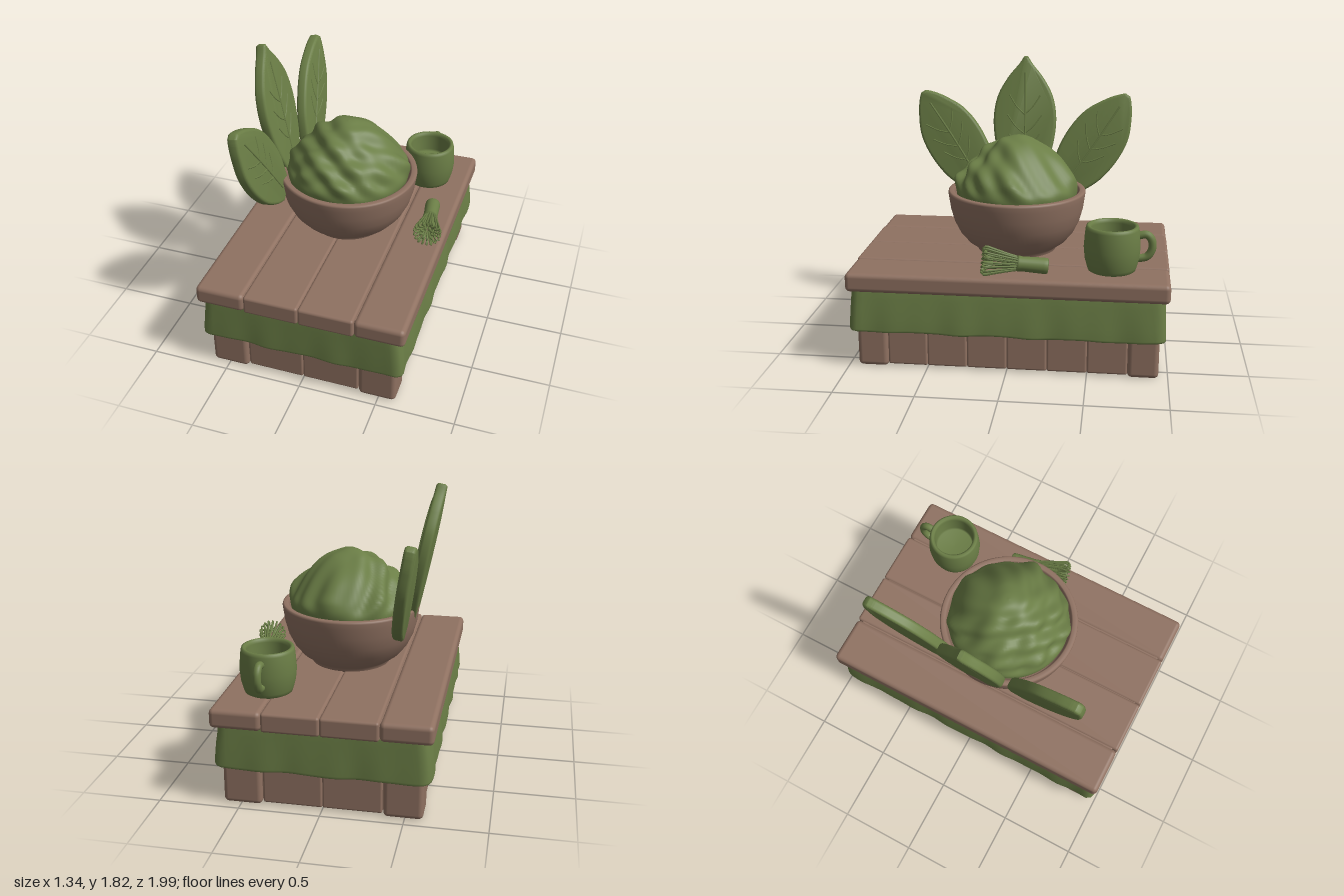
import * as THREE from 'three';
import { mergeVertices, toCreasedNormals } from 'three/addons/utils/BufferGeometryUtils.js';
import { RoundedBoxGeometry } from 'three/addons/geometries/RoundedBoxGeometry.js';

const wood = new THREE.MeshStandardMaterial({ color: 0x8f7161 });
wood.name = 'brown wood';
const green = new THREE.MeshStandardMaterial({ color: 0x6b7e46 });
green.name = 'leaf green';

const V2 = (x, y) => new THREE.Vector2(x, y);
const V3 = (x, y, z) => new THREE.Vector3(x, y, z);

function add(parent, name, geometry, material) {
  const mesh = new THREE.Mesh(geometry, material);
  mesh.name = name;
  parent.add(mesh);
  return mesh;
}

// Rounded block given by its limits on each axis
function block(parent, name, [x0, x1], [y0, y1], [z0, z1], r) {
  const geo = new RoundedBoxGeometry(x1 - x0, y1 - y0, z1 - z0, 3, r);
  const mesh = add(parent, name, geo, wood);
  mesh.position.set((x0 + x1) / 2, (y0 + y1) / 2, (z0 + z1) / 2);
}

function lathe(pairs, segments = 64) {
  return new THREE.LatheGeometry(pairs.map(([r, y]) => V2(r, y)), segments);
}

// Table: grid of blocks, corner posts and four top planks
function buildTable() {
  const g = new THREE.Group();
  g.name = 'table';
  const xs = [-0.595, -0.365, 0, 0.365, 0.595];
  const zs = [-0.925, -0.75, -0.5, -0.25, 0, 0.25, 0.5, 0.75, 0.925];
  for (let i = 0; i < 4; i++) {
    for (let j = 0; j < 8; j++) {
      const corner = (i === 0 || i === 3) && (j === 0 || j === 7);
      if (!corner) block(g, 'basePlank', [xs[i], xs[i + 1]], [0.012, 0.5], [zs[j], zs[j + 1]], 0.014);
    }
  }
  for (const sx of [-1, 1]) for (const sz of [-1, 1]) {
    const px = [sx * 0.37, sx * 0.61].sort((a, b) => a - b);
    const pz = [sz * 0.75, sz * 0.942].sort((a, b) => a - b);
    block(g, 'cornerPost', px, [0, 0.5], pz, 0.03);
  }
  block(g, 'baseCore', [-0.58, 0.58], [0.03, 0.52], [-0.91, 0.91], 0.01);
  const seams = [-0.668, -0.352, 0, 0.352, 0.668];
  for (let i = 0; i < 4; i++) {
    block(g, 'topPlank', [seams[i], seams[i + 1]], [0.51, 0.632], [-0.995, 0.995], i % 3 ? 0.018 : 0.03);
  }
  block(g, 'topCore', [-0.63, 0.63], [0.53, 0.622], [-0.96, 0.96], 0.01);
  return g;
}

// Cloth band: rounded rectangles lofted from the inner top, under the hem, to the outer top
function buildCloth() {
  const n = 200;
  const outline = (hx, hz, r) => {
    const s = new THREE.Shape();
    s.absarc(hx - r, hz - r, r, 0, Math.PI / 2);
    s.absarc(r - hx, hz - r, r, Math.PI / 2, Math.PI);
    s.absarc(r - hx, r - hz, r, Math.PI, Math.PI * 1.5);
    s.absarc(hx - r, r - hz, r, Math.PI * 1.5, Math.PI * 2);
    s.closePath();
    return s.getSpacedPoints(n);
  };
  // Each row: inset, height, fold strength
  const rows = [[0.06, 0.52, 0.3], [0.035, 0.27, 1], [0.033, 0.253, 1], [0.025, 0.248, 1], [0.01, 0.248, 1],
    [0.002, 0.253, 1], [0, 0.265, 1], [0.005, 0.33, 0.8], [0.012, 0.4, 0.5], [0.02, 0.46, 0.3], [0.025, 0.5, 0.2], [0.03, 0.52, 0]];
  const pos = [], index = [];
  rows.forEach(([inset, y, fold], j) => {
    const pts = outline(0.657 - inset, 0.98 - inset * 0.4, 0.05);
    for (let i = 0; i < n; i++) {
      const a = (i / n) * Math.PI * 2;
      const wave = fold * 0.006 * (Math.sin(a * 17) + 0.6 * Math.sin(a * 29 + 1));
      const p = pts[i];
      pos.push(p.x * (1 + wave), y + fold * 0.004 * Math.sin(a * 13), p.y * (1 + wave * 0.6));
      if (j === rows.length - 1) continue;
      const b = j * n + i, c = j * n + (i + 1) % n;
      index.push(b, b + n, c, c, b + n, c + n);
    }
  });
  const geo = new THREE.BufferGeometry();
  geo.setAttribute('position', new THREE.Float32BufferAttribute(pos, 3));
  geo.setIndex(index);
  geo.computeVertexNormals();
  return geo;
}

// Powder heap: a turned dome made lumpy by a rule
function buildHeap() {
  const curve = new THREE.SplineCurve([[0.36, 0.9], [0.395, 1.02], [0.375, 1.1], [0.325, 1.17], [0.27, 1.23],
    [0.2, 1.29], [0.12, 1.345], [0.05, 1.378], [0, 1.385]].map(([r, y]) => V2(r, y)));
  const profile = curve.getPoints(48);
  profile[48].x = 0;
  let geo = new THREE.LatheGeometry(profile, 96);
  const p = geo.attributes.position;
  for (let i = 0; i < p.count; i++) {
    const x = p.getX(i), y = p.getY(i), z = p.getZ(i);
    const lump = Math.sin(x * 19 + y * 9) * Math.sin(z * 17 - y * 14 + 1) + 0.6 * Math.sin(x * 31 - z * 23 + y * 30)
      + 0.4 * Math.sin(z * 41 + x * 13 - y * 25);
    const fade = Math.min(1, Math.hypot(x, z) / 0.12) * THREE.MathUtils.smoothstep(y, 1.0, 1.12);
    const k = 1 + 0.045 * lump * fade;
    p.setXYZ(i, x * k, y + 0.012 * lump * fade, z * k);
  }
  geo.deleteAttribute('uv');
  geo.deleteAttribute('normal');
  geo = mergeVertices(geo, 1e-4);
  geo.computeVertexNormals();
  return geo;
}

// Leaf: bevelled plate with a raised midrib and side veins
function buildLeaf(name, length, halfWidths, position, roll, lean) {
  const outer = new THREE.Group(), leaf = new THREE.Group();
  outer.name = name;
  const last = halfWidths.length - 1, bevel = 0.018;
  const side = halfWidths.map(([t, w]) => V2(w - bevel, bevel + t * (length - 2 * bevel)));
  const left = side.map((p) => V2(-p.x, p.y)).reverse();
  const shape = new THREE.Shape();
  shape.moveTo(0, bevel);
  shape.splineThru(side);
  shape.lineTo(left[0].x, left[0].y);
  shape.splineThru(left.slice(1));
  shape.closePath();
  const geo = new THREE.ExtrudeGeometry(shape, {
    depth: 0.034, bevelThickness: 0.018, bevelSize: bevel, bevelSegments: 3, curveSegments: 8 * last });
  geo.translate(0, 0, -0.017);
  add(leaf, 'blade', toCreasedNormals(geo, 0.8), green);
  const vein = (points, r) => add(leaf, 'vein',
    new THREE.TubeGeometry(new THREE.CatmullRomCurve3(points), 10, r, 6), green);
  const z = 0.034;
  vein([V3(0, length * 0.1, z), V3(0.006, length * 0.5, z), V3(0, length * 0.88, z)], 0.007);
  for (const s of [-1, 1]) for (const t of [0.3, 0.44, 0.58]) {
    const w = s * (0.12 - Math.abs(t - 0.44) * 0.1), y = t * length;
    vein([V3(0, y, z), V3(w * 0.5, y + 0.05, z), V3(w, y + 0.13, z)], 0.005);
  }
  leaf.rotation.z = roll;
  outer.rotation.set(0, Math.PI / 2, lean, 'ZYX');
  outer.position.copy(position);
  outer.add(leaf);
  return outer;
}

// Cup with a looped handle on its back
function buildCup() {
  const g = new THREE.Group();
  g.name = 'cup';
  add(g, 'cupBody', lathe([[0, 0], [0.135, 0], [0.148, 0.008], [0.155, 0.03], [0.168, 0.08], [0.175, 0.15], [0.17, 0.22],
    [0.165, 0.27], [0.16, 0.287], [0.148, 0.292], [0.135, 0.285], [0.13, 0.265], [0.128, 0.16], [0.12, 0.145], [0, 0.142]]), green);
  const path = new THREE.CatmullRomCurve3([V3(0, 0.225, -0.15), V3(0, 0.235, -0.21), V3(0, 0.205, -0.24),
    V3(0, 0.145, -0.245), V3(0, 0.095, -0.215), V3(0, 0.08, -0.15)]);
  add(g, 'cupHandle', new THREE.TubeGeometry(path, 30, 0.025, 12), green);
  g.position.set(0.393, 0.628, -0.635);
  return g;
}

// Whisk: stub handle with two rings of curled tines
function buildWhisk() {
  const g = new THREE.Group();
  g.name = 'whisk';
  add(g, 'whiskHandle', lathe([[0, 0], [0.043, 0], [0.049, 0.006], [0.05, 0.03], [0.046, 0.16], [0.05, 0.18], [0.046, 0.195], [0, 0.197]], 24), green);
  for (const [count, r] of [[18, 0.088], [9, 0.045]]) {
    for (let i = 0; i < count; i++) {
      const a = (i / count) * Math.PI * 2;
      const at = (k, y) => V3(Math.cos(a) * r * k, y, Math.sin(a) * r * k);
      const curve = new THREE.CatmullRomCurve3([at(0.42, 0.17), at(0.62, 0.25), at(0.88, 0.34),
        at(1, 0.385), at(0.92, 0.405), at(0.7, 0.395), at(0.35, 0.34)]);
      add(g, 'tine', new THREE.TubeGeometry(curve, 16, 0.006, 6), green);
    }
  }
  const from = V3(0.52, 0.68, -0.25), to = V3(0.578, 0.722, 0.15);
  g.position.copy(from);
  g.quaternion.setFromUnitVectors(V3(0, 1, 0), to.sub(from).normalize());
  return g;
}

export function createModel() {
  const model = new THREE.Group();
  model.name = 'teaTable';
  model.add(buildTable());
  add(model, 'clothBand', buildCloth(), green);

  // Bowl with foot, thick rim and hollow inside
  add(model, 'bowl', lathe([[0, 0.625], [0.25, 0.625], [0.258, 0.632], [0.256, 0.645], [0.275, 0.66], [0.325, 0.695], [0.375, 0.755],
    [0.412, 0.83], [0.434, 0.91], [0.444, 0.98], [0.449, 1.015], [0.446, 1.026], [0.438, 1.03], [0.415, 1.03], [0.407, 1.024],
    [0.403, 1.0], [0.39, 0.93], [0.36, 0.85], [0, 0.8]], 80), wood);
  add(model, 'powderHeap', buildHeap(), green);

  // Three leaves fanned along the left rim
  const tall = [[0, 0.05], [0.12, 0.12], [0.3, 0.185], [0.52, 0.216], [0.7, 0.195], [0.84, 0.13], [0.95, 0.05], [1, 0.02]];
  const short = [[0, 0.07], [0.1, 0.125], [0.28, 0.18], [0.5, 0.197], [0.7, 0.175], [0.87, 0.11], [0.96, 0.06], [1, 0.03]];
  model.add(buildLeaf('middleLeaf', 0.95, tall, V3(-0.385, 0.89, 0), 0, 0.2));
  for (const s of [-1, 1]) {
    model.add(buildLeaf('sideLeaf', 0.8, short, V3(-0.365, 0.925, s * 0.26), s * 0.59, 0.165));
  }
  model.add(buildCup(), buildWhisk());
  return model;
}
